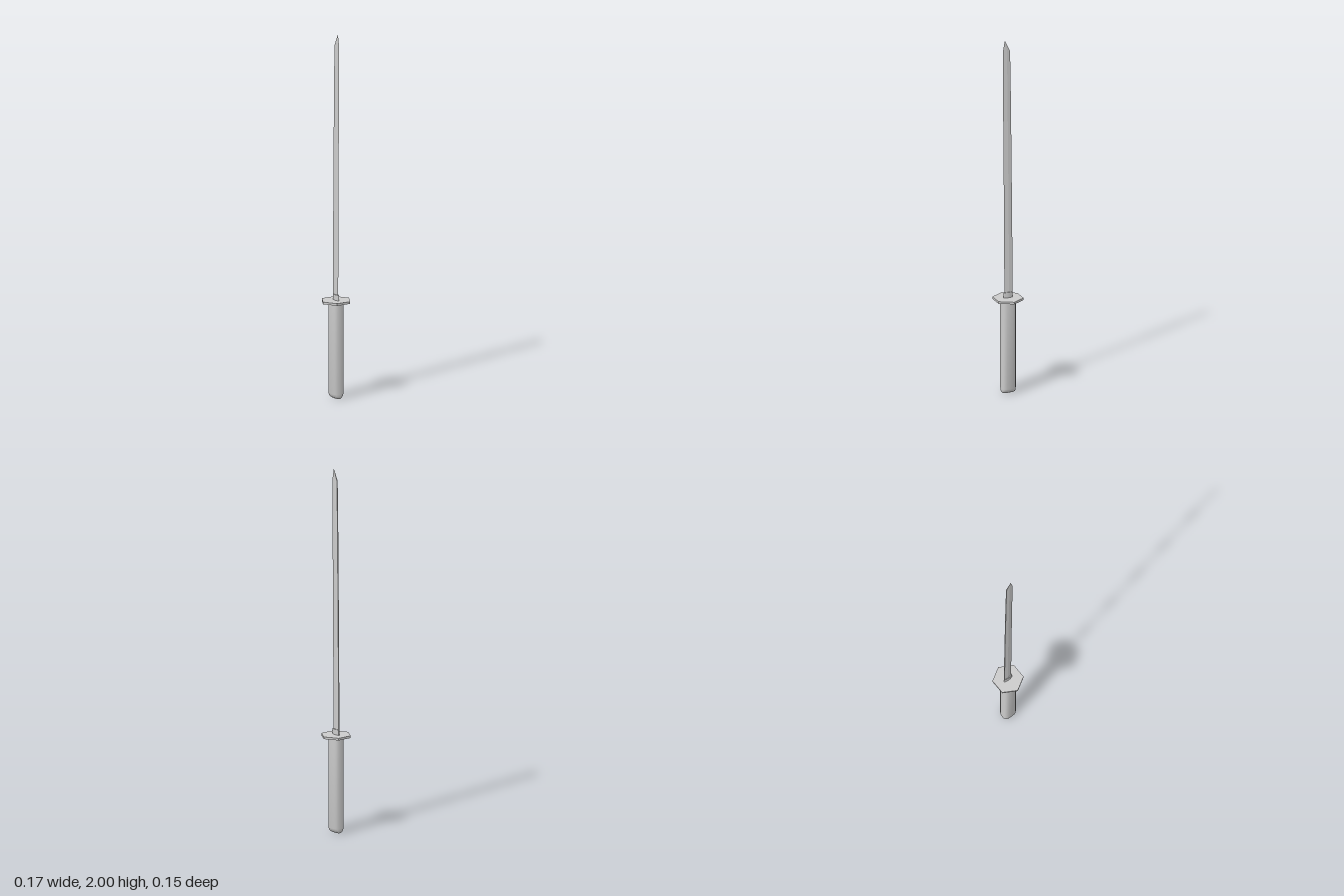
import * as THREE from 'three';
import { toCreasedNormals } from 'three/addons/utils/BufferGeometryUtils.js';

const steel = new THREE.MeshStandardMaterial({ color: 0xcccccc });

// Skin a stack of equal-length rings of [x, y, z], running +x to +z, bottom to top, with end caps
function loft(rings, crease) {
  const n = rings[0].length;
  const index = [];
  for (let r = 0; r < rings.length - 1; r++) {
    for (let i = 0; i < n; i++) {
      const a = r * n + i, b = r * n + (i + 1) % n;
      index.push(a, a + n, b, b, a + n, b + n);
    }
  }
  const top = (rings.length - 1) * n;
  for (let i = 1; i < n - 1; i++) {
    index.push(0, i, i + 1, top, top + i + 1, top + i);
  }
  const geometry = new THREE.BufferGeometry();
  geometry.setAttribute('position', new THREE.Float32BufferAttribute(rings.flat(2), 3));
  geometry.setIndex(index);
  return toCreasedNormals(geometry, crease);
}

// Rounded ring: power 1 is an ellipse, smaller is boxier
function roundRing(y, rx, rz, power, sides) {
  return Array.from({ length: sides }, (_, i) => {
    const a = (i / sides) * Math.PI * 2, c = Math.cos(a), s = Math.sin(a);
    return [
      rx * Math.sign(c) * Math.abs(c) ** power, y,
      rz * Math.sign(s) * Math.abs(s) ** power,
    ];
  });
}

// Blade section: flat spine at -z, ridge on each side, sharp edge at +z
function bladeRing(y, back, front, half) {
  const ridge = back + (front - back) * 0.45;
  return [
    [half, y, ridge], [0, y, front], [-half, y, ridge],
    [-half * 0.7, y, back], [half * 0.7, y, back],
  ];
}

export function createModel() {
  const sword = new THREE.Group();
  sword.name = 'sword';
  const add = (name, geometry) => {
    const mesh = new THREE.Mesh(geometry, steel);
    mesh.name = name;
    sword.add(mesh);
    return mesh;
  };

  // Grip with a rounded butt
  const grip = [
    [0, 0.013, 0.034], [0.006, 0.022, 0.038], [0.014, 0.03, 0.04],
    [0.026, 0.034, 0.04], [0.53, 0.034, 0.04],
  ];
  add('grip', loft(grip.map(([y, rx, rz]) => roundRing(y, rx, rz, 0.7, 20)), 0.7));

  // Hexagonal guard with points on the x axis
  const guard = add('guard', toCreasedNormals(new THREE.CylinderGeometry(0.084, 0.084, 0.012, 6), 0.5));
  guard.position.y = 0.532;
  guard.rotation.y = Math.PI / 6;

  // Oval collar at the blade root
  add('collar', loft([0.53, 0.568].map((y) => roundRing(y, 0.008, 0.027, 1, 16)), 0.7));

  // Blade, leaning slightly towards its cutting edge and narrowing to the tip
  const blade = [
    [0.53, -0.026, 0.021, 0.004], [0.95, -0.023, 0.023, 0.004],
    [1.35, -0.019, 0.026, 0.004], [1.7, -0.015, 0.029, 0.004],
    [1.938, -0.011, 0.03, 0.0035], [2, 0.0175, 0.0185, 0.0003],
  ];
  add('blade', loft(blade.map((row) => bladeRing(...row)), 0.1));

  return sword;
}
